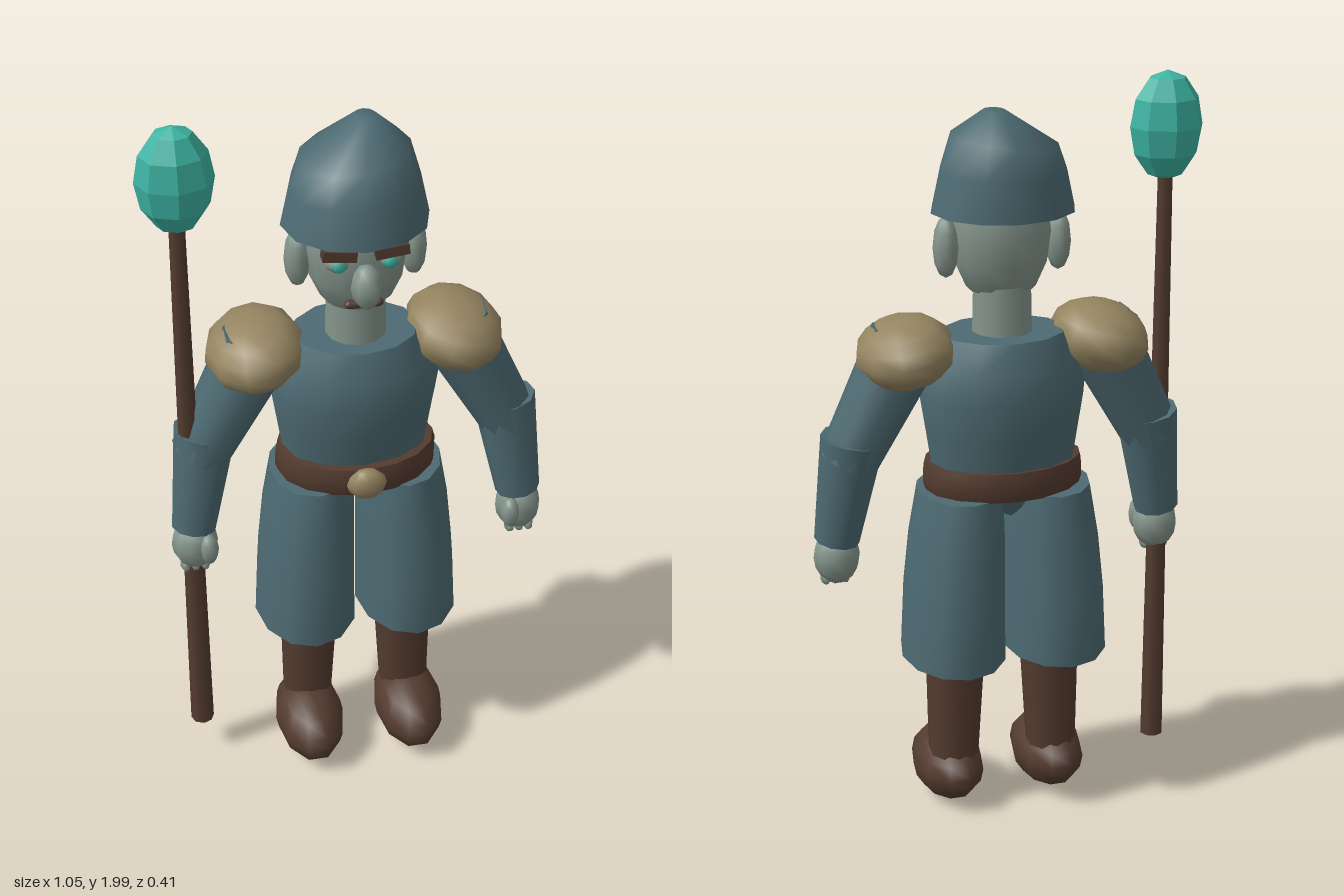
import * as THREE from 'three';
import { toCreasedNormals } from 'three/addons/utils/BufferGeometryUtils.js';

const mat = (name, color) => {
  const m = new THREE.MeshStandardMaterial({ color });
  m.name = name;
  return m;
};

export function createModel() {
  const cloth = mat('blue cloth', 0x4d6a72);
  const gold = mat('dull gold', 0x948460);
  const leather = mat('brown leather', 0x533b2f);
  const skin = mat('grey skin', 0x84948b);
  const teal = mat('teal crystal', 0x3db3a3);

  const root = new THREE.Group();
  root.name = 'guard';
  const body = new THREE.Group();
  body.name = 'body';
  body.position.x = 0.015;
  root.add(body);

  const add = (parent, name, geo, material) => {
    const mesh = new THREE.Mesh(geo, material);
    mesh.name = name;
    parent.add(mesh);
    return mesh;
  };

  // Ellipsoid with its own segment counts
  const blob = (parent, name, material, pos, size, w = 12, h = 8) => {
    const mesh = add(parent, name, new THREE.SphereGeometry(1, w, h), material);
    mesh.position.set(...pos);
    mesh.scale.set(...size);
    return mesh;
  };

  // Closed stack of elliptical rings, listed top down: [y, rx, rz, cx, cz, tilt]
  const loft = (parent, name, material, rings, seg = 12) => {
    const n = rings.length - 1;
    const geo = new THREE.CylinderGeometry(1, 1, 1, seg, n);
    const p = geo.attributes.position;
    for (let i = 0; i < p.count; i++) {
      const [y, rx, rz, cx = 0, cz = 0, tilt = 0] = rings[Math.round((0.5 - p.getY(i)) * n)];
      const x = p.getX(i);
      p.setXYZ(i, cx + x * rx, y + x * tilt, cz + p.getZ(i) * rz);
    }
    return add(parent, name, toCreasedNormals(geo, 1), material);
  };

  // Tapered limb between two points
  const limb = (parent, name, material, from, to, r0, r1, seg = 10) => {
    const a = new THREE.Vector3(...from), b = new THREE.Vector3(...to);
    const dir = b.clone().sub(a);
    const mesh = add(parent, name, new THREE.CylinderGeometry(r1, r0, dir.length(), seg), material);
    mesh.position.copy(a).addScaledVector(dir, 0.5);
    mesh.quaternion.setFromUnitVectors(new THREE.Vector3(0, 1, 0), dir.normalize());
    return mesh;
  };

  // Hat, with its crown leaning to the left and back
  loft(body, 'hat', cloth, [
    [1.94, 0.028, 0.035, 0.033, -0.055],
    [1.86, 0.14, 0.134, 0.0, -0.033, 0.017],
    [1.78, 0.166, 0.154, 0.0, -0.025, 0.006],
    [1.68, 0.188, 0.17, 0, -0.018],
  ]);

  // Head and face
  blob(body, 'head', skin, [0, 1.62, 0], [0.132, 0.198, 0.115]);
  limb(body, 'neck', skin, [0, 1.34, -0.008], [0, 1.5, -0.008], 0.08, 0.076, 12);
  blob(body, 'nose', skin, [0, 1.57, 0.13], [0.04, 0.06, 0.047], 8, 6);
  const mouth = add(body, 'mouth', new THREE.CapsuleGeometry(0.012, 0.075, 3, 8), leather);
  mouth.rotation.z = Math.PI / 2;
  mouth.position.set(0, 1.503, 0.098);

  // Torso, belt and buckle
  loft(body, 'torso', cloth, [
    [1.36, 0.163, 0.13, 0, -0.015],
    [1.28, 0.208, 0.16, 0, -0.015],
    [1.2, 0.222, 0.168, 0, -0.015],
    [1.1, 0.207, 0.15, 0, -0.017],
    [0.97, 0.188, 0.128, 0, -0.018],
  ]);
  loft(body, 'belt', leather, [
    [1.016, 0.208, 0.15, 0, -0.01],
    [0.99, 0.215, 0.156, 0, -0.01],
    [0.96, 0.215, 0.156, 0, -0.01],
    [0.937, 0.208, 0.15, 0, -0.01],
  ], 16);
  blob(body, 'buckle', gold, [0, 0.979, 0.148], [0.053, 0.045, 0.03], 8, 6);
  loft(body, 'coatCore', cloth, [
    [0.95, 0.17, 0.12, 0, -0.015],
    [0.875, 0.02, 0.08, 0, -0.015],
  ]);

  for (const s of [-1, 1]) {
    const side = s > 0 ? 'left' : 'right';

    // Face details
    blob(body, side + 'Ear', skin, [s * 0.148, 1.588, -0.01], [0.034, 0.08, 0.04], 10, 6);
    blob(body, side + 'Eye', skin, [s * 0.064, 1.622, 0.094], [0.032, 0.024, 0.02], 8, 6);
    blob(body, side + 'Iris', teal, [s * 0.064, 1.622, 0.106], [0.019, 0.02, 0.013], 8, 6);
    const brow = add(body, side + 'Brow', new THREE.BoxGeometry(0.085, 0.028, 0.035), leather);
    brow.position.set(s * 0.065, 1.66, 0.112);
    brow.rotation.z = s * 0.12;

    // Coat skirt, one lobe to each side of the slit
    loft(body, side + 'CoatSkirt', cloth, [
      [0.94, 0.113, 0.148, s * 0.118, -0.017],
      [0.8, 0.127, 0.168, s * 0.128, -0.015],
      [0.65, 0.134, 0.184, s * 0.136, -0.013],
      [0.466, 0.139, 0.191, s * 0.14, -0.012],
    ]);

    // Leg and boot
    limb(body, side + 'Leg', leather, [s * 0.14, 0.1, -0.005], [s * 0.128, 0.62, -0.005], 0.066, 0.086);
    const boot = blob(body, side + 'Boot', leather, [s * 0.143, 0.103, 0.05], [0.096, 0.096, 0.164], 10, 8);
    boot.rotation.x = 0.06;

    // Arm
    limb(body, side + 'UpperArm', cloth, [s * 0.25, 1.35, -0.005], [s * 0.415, 1.03, 0.0], 0.1, 0.078);
    blob(body, side + 'Elbow', cloth, [s * 0.403, 1.06, 0], [0.08, 0.065, 0.075], 10, 6);
    limb(body, side + 'Forearm', cloth, [s * 0.398, 1.1, -0.005], [s * 0.442, 0.81, 0.022], 0.084, 0.06);

    // Epaulette
    const pad = blob(body, side + 'Epaulette', gold, [s * 0.26, 1.325, -0.018], [0.13, 0.092, 0.16], 10, 8);
    pad.rotation.z = -s * 0.2;

    // Hand, thumb and fingertips
    blob(body, side + 'Hand', skin, [s * 0.442, 0.762, 0.03], [0.062, 0.075, 0.06], 10, 8);
    blob(body, side + 'Thumb', skin, [s * 0.41, 0.768, 0.077], [0.026, 0.046, 0.028], 8, 6);
    for (let i = -1; i <= 1; i++) {
      blob(body, side + 'Fingertip', skin, [s * (0.445 + i * 0.026), 0.7, 0.042], [0.015, 0.022, 0.025], 6, 5);
    }
  }

  // Staff with a faceted crystal head
  limb(root, 'staff', leather, [-0.43, 0.12, 0.02], [-0.43, 1.76, 0.02], 0.032, 0.02, 8);
  const facets = new THREE.SphereGeometry(1, 8, 6).toNonIndexed();
  facets.computeVertexNormals();
  const crystal = add(root, 'crystal', facets, teal);
  crystal.position.set(-0.43, 1.857, 0.02);
  crystal.scale.set(0.098, 0.143, 0.08);

  return root;
}
